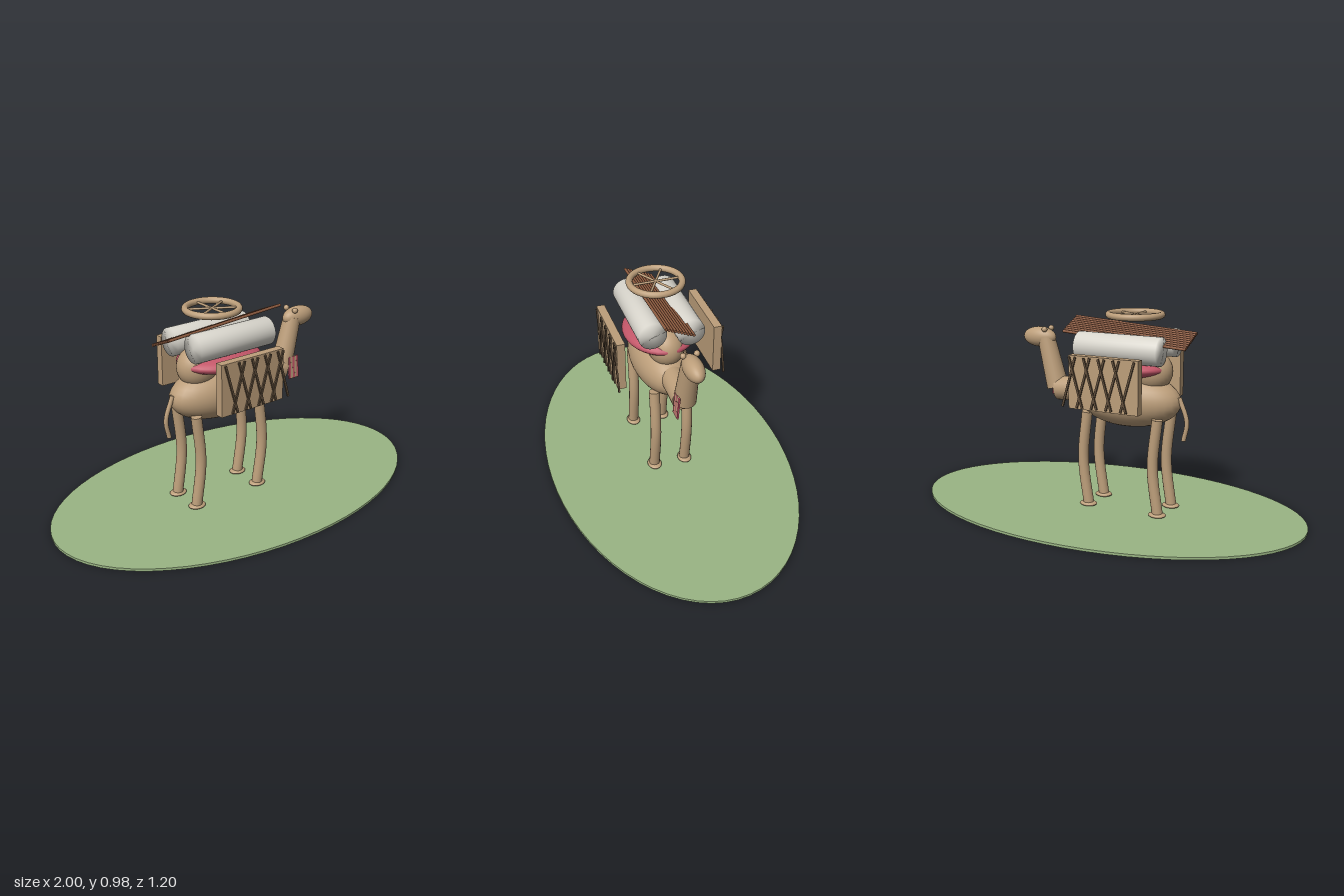
import * as THREE from 'three';

const mat = (name, color) => {
  const m = new THREE.MeshStandardMaterial({ color });
  m.name = name;
  return m;
};

export function createModel() {
  const root = new THREE.Group();
  root.name = 'loadedCamel';
  const tan = mat('tan', 0xbc9e7a);
  const pink = mat('pink', 0xc25668);
  const cloth = mat('cloth', 0xd8d5cc);
  const plankBrown = mat('plankBrown', 0x8f5c40);
  const darkWood = mat('darkWood', 0x5f4d3a);
  const green = mat('green', 0x9ab584);

  const add = (name, geo, material, x = 0, y = 0, z = 0, parent = root) => {
    const m = new THREE.Mesh(geo, material);
    m.name = name;
    m.position.set(x, y, z);
    parent.add(m);
    return m;
  };
  const ellipsoid = (name, material, [x, y, z], [rx, ry, rz]) =>
    add(name, new THREE.SphereGeometry(1, 32, 20).scale(rx, ry, rz), material, x, y, z);
  // Cylinder between two points
  const rod = (name, material, a, b, ra, rb = ra, sides = 20, parent = root) => {
    const p = new THREE.Vector3(...a), q = new THREE.Vector3(...b);
    const d = q.clone().sub(p);
    const m = add(name, new THREE.CylinderGeometry(rb, ra, d.length(), sides), material, 0, 0, 0, parent);
    m.position.copy(p).add(q).multiplyScalar(0.5);
    m.quaternion.setFromUnitVectors(new THREE.Vector3(0, 1, 0), d.normalize());
    return m;
  };
  // Bent tube with flat end caps
  const bentTube = (name, pts, r) => {
    const curve = new THREE.CatmullRomCurve3(pts.map(p => new THREE.Vector3(...p)));
    add(name, new THREE.TubeGeometry(curve, 20, r, 16), tan);
    for (const t of [0, 1]) {
      const cap = add(name + 'End', new THREE.CircleGeometry(r, 16), tan);
      cap.position.copy(curve.getPoint(t));
      const dir = curve.getTangent(t).multiplyScalar(t ? 1 : -1);
      cap.quaternion.setFromUnitVectors(new THREE.Vector3(0, 0, 1), dir);
    }
  };

  // Ground
  add('ground', new THREE.CylinderGeometry(1, 1, 0.012, 64).scale(1, 1, 0.6), green, 0, 0.006, 0);

  // Body, humps and saddle pad
  ellipsoid('body', tan, [-0.11, 0.555, 0], [0.272, 0.134, 0.136]);
  for (const x of [-0.23, 0.005]) ellipsoid('hump', tan, [x, 0.7, 0], [0.105, 0.1, 0.09]);
  ellipsoid('saddlePad', pink, [-0.107, 0.715, 0], [0.215, 0.052, 0.173]);

  // Legs and feet
  for (const x of [-0.3, 0.072]) {
    for (const z of [-0.08, 0.08]) {
      bentTube('leg', [[x, 0.487, z], [x + 0.022, 0.25, z], [x - 0.008, 0.015, z]], 0.026);
      ellipsoid('foot', tan, [x - 0.005, 0.022, z], [0.044, 0.013, 0.035]);
    }
  }
  bentTube('tail', [[-0.375, 0.585, 0], [-0.415, 0.47, 0], [-0.4, 0.38, 0]], 0.011);

  // Neck and head
  rod('lowerNeck', tan, [0.08, 0.58, 0], [0.275, 0.57, 0], 0.058, 0.06, 24);
  rod('upperNeck', tan, [0.283, 0.575, 0], [0.347, 0.82, 0], 0.054, 0.043, 24);
  ellipsoid('head', tan, [0.383, 0.819, 0], [0.09, 0.05, 0.046]);
  for (const z of [-0.032, 0.032]) ellipsoid('ear', tan, [0.337, 0.861, z], [0.014, 0.014, 0.014]);

  // Striped neck ribbon
  const ribbon = new THREE.Group();
  ribbon.name = 'neckRibbon';
  ribbon.position.set(0.317, 0.577, 0.052);
  ribbon.rotation.x = -0.08;
  root.add(ribbon);
  for (let i = 0; i < 5; i++) {
    add('ribbonStripe', new THREE.BoxGeometry(0.012, 0.112, 0.008), i % 2 ? tan : pink, (i - 2) * 0.0122, 0, 0, ribbon);
  }

  // Cloth rolls
  const rollProfile = [[0, -0.2125], [0.068, -0.2125], [0.068, 0.2125], [0, 0.2125]]
    .map(p => new THREE.Vector2(...p));
  for (const [y, z] of [[0.826, 0.094], [0.809, -0.091]]) {
    const roll = add('clothRoll', new THREE.LatheGeometry(rollProfile, 32), cloth, -0.108, y, z);
    roll.rotation.z = -Math.PI / 2;
  }

  // Tilted mat of wooden rods
  for (let i = 0; i < 10; i++) {
    const z = -0.066 + i * 0.0146;
    const y = 0.874 + z * 0.43;
    rod('matRod', plankBrown, [-0.43, y - 0.021, z], [0.21, y + 0.021, z], 0.0072, 0.0072, 8);
  }

  // Wheel lying on top
  const wheel = new THREE.Group();
  wheel.name = 'wheel';
  wheel.position.set(-0.144, 0.96, 0);
  root.add(wheel);
  add('rim', new THREE.TorusGeometry(0.125, 0.016, 14, 48).rotateX(Math.PI / 2), tan, 0, 0, 0, wheel);
  for (let i = 0; i < 3; i++) {
    const a = Math.PI / 2 + i * Math.PI / 3;
    const c = 0.125 * Math.cos(a), s = 0.125 * Math.sin(a);
    rod('spoke', tan, [-c, 0, -s], [c, 0, s], 0.006, 0.006, 8, wheel);
  }

  // Side panniers with crossed lattice sticks
  for (const side of [-1, 1]) {
    add('pannier', new THREE.BoxGeometry(0.356, 0.25, 0.04), tan, -0.107, 0.665, side * 0.237);
    for (let i = 0; i < 9; i++) {
      const lean = i % 2 ? -1 : 1;
      const stick = add('latticeStick', new THREE.BoxGeometry(0.01, 0.246, 0.008), darkWood,
        -0.232 + i * 0.0375, 0.665, side * (0.2605 + (i % 2) * 0.003));
      stick.rotation.z = lean * 0.28;
    }
  }
  return root;
}
